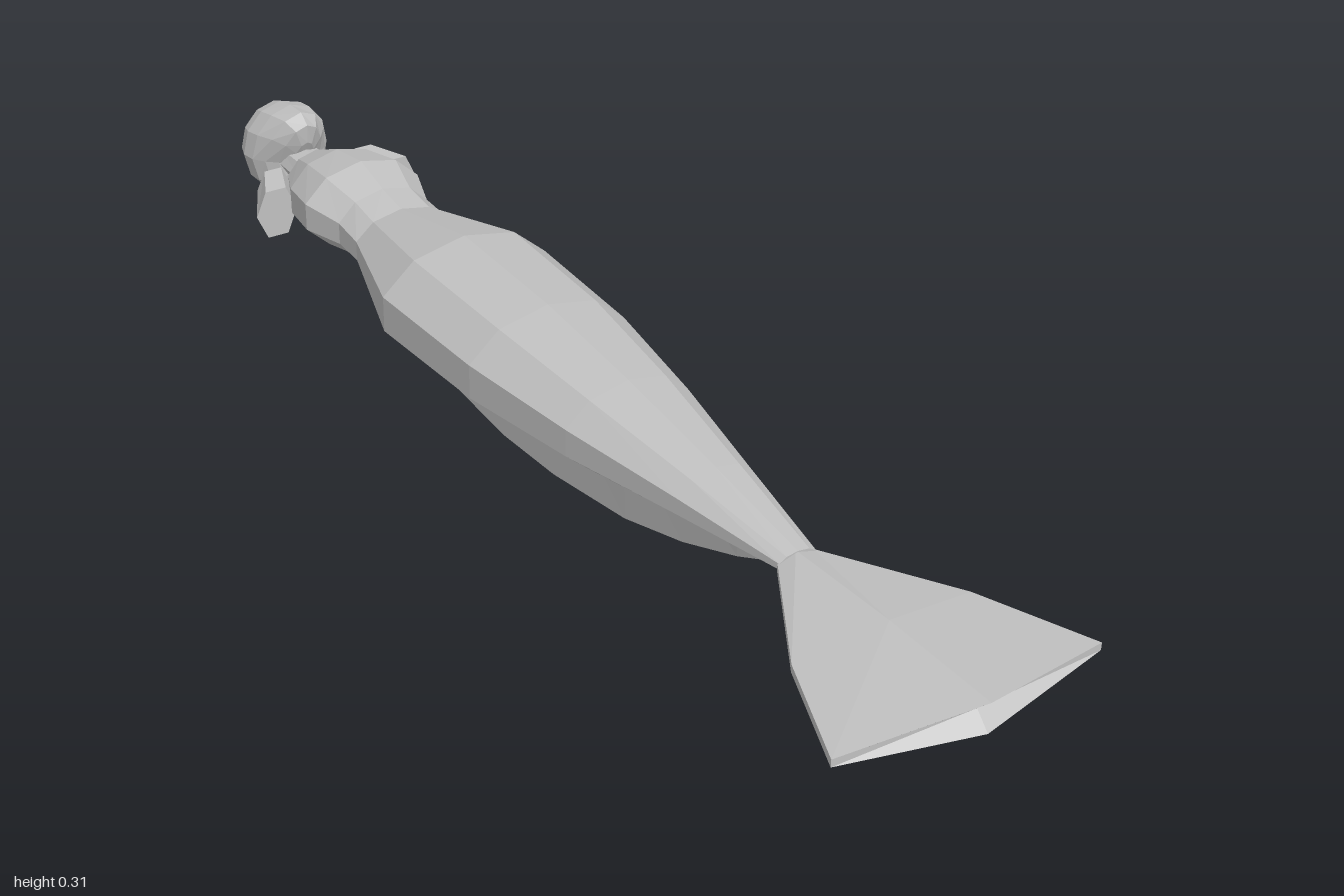
import * as THREE from 'three';

const MID = 0.212; // height of the body axis

// Faceted skin through matching rings of [x, y, z], counter-clockwise seen from +z, ordered by rising z
function loft(rings) {
  const n = rings[0].length;
  const pos = [];
  const tri = (a, b, c) => pos.push(...a, ...b, ...c);
  for (let i = 0; i < rings.length - 1; i++) {
    for (let j = 0; j < n; j++) {
      const k = (j + 1) % n;
      const [a, b, c, d] = [rings[i][j], rings[i][k], rings[i + 1][k], rings[i + 1][j]];
      tri(a, b, c);
      tri(a, c, d);
    }
  }
  // end caps
  const cap = (ring, front) => {
    const mid = [0, 1, 2].map((q) => ring.reduce((s, p) => s + p[q], 0) / n);
    ring.forEach((p, j) => {
      const q = ring[(j + 1) % n];
      if (front) tri(mid, p, q);
      else tri(mid, q, p);
    });
  };
  cap(rings[0], false);
  cap(rings[rings.length - 1], true);
  const g = new THREE.BufferGeometry();
  g.setAttribute('position', new THREE.Float32BufferAttribute(pos, 3));
  g.computeVertexNormals();
  return g;
}

function ellipse(n, cx, cy, z, rx, ry, start = 0) {
  return Array.from({ length: n }, (_, j) => {
    const a = start + (j / n) * Math.PI * 2;
    return [cx + rx * Math.cos(a), cy + ry * Math.sin(a), z];
  });
}

export function createModel() {
  const model = new THREE.Group();
  const grey = new THREE.MeshStandardMaterial({ color: 0xc0c0c0 });
  grey.name = 'light grey';
  const add = (name, geometry) => {
    const mesh = new THREE.Mesh(geometry, grey);
    mesh.name = name;
    model.add(mesh);
  };

  // Body: ten-sided rings from shoulders to tail root [z, half width, top, bottom]
  const body = [
    [-0.79, 0.06, 0.25, 0.15],
    [-0.71, 0.096, 0.283, 0.134],
    [-0.62, 0.113, 0.297, 0.143],
    [-0.545, 0.088, 0.277, 0.153],
    [-0.48, 0.09, 0.267, 0.157],
    [-0.27, 0.156, 0.31, 0.113],
    [-0.02, 0.145, 0.304, 0.12],
    [0.2, 0.112, 0.284, 0.14],
    [0.42, 0.068, 0.256, 0.172],
    [0.61, 0.032, 0.229, 0.2],
  ];
  add('body', loft(body.map(([z, rx, top, bottom]) =>
    ellipse(10, 0, (top + bottom) / 2, z, rx, (top - bottom) / 2, Math.PI / 2))));

  // Neck
  add('neck', loft([
    ellipse(8, 0, 0.203, -0.88, 0.038, 0.028),
    ellipse(8, 0, 0.203, -0.77, 0.04, 0.032),
  ]));

  // Head: round skull with the face upward and the chin drawn toward the chest
  const R = 0.087;
  const head = new THREE.SphereGeometry(1, 12, 9).rotateX(Math.PI / 2).toNonIndexed();
  const p = head.attributes.position;
  for (let i = 0; i < p.count; i++) {
    const v = p.getY(i);
    const u = p.getZ(i);
    const f = Math.max(u, 0);
    const chin = f * Math.max(v, 0);
    p.setXYZ(i,
      p.getX(i) * 0.079 * (1 - 0.28 * f),
      0.205 + R * v + 0.046 * chin,
      -0.912 + R * u + 0.06 * chin - 0.022 * f * (1 - Math.abs(v)));
  }
  head.computeVertexNormals();
  add('head', head);

  // Short arm stumps beside the shoulders
  for (const [side, name] of [[1, 'leftArm'], [-1, 'rightArm']]) {
    add(name, loft([
      ellipse(6, side * 0.088, 0.203, -0.785, 0.032, 0.038),
      ellipse(6, side * 0.117, 0.19, -0.715, 0.038, 0.05),
    ]));
  }

  // Keel fin: thin blade under the belly [z, lower edge, upper edge]
  const keel = [
    [-0.6, 0.148, 0.18], [-0.55, 0.098, 0.2], [-0.48, 0.058, 0.2], [-0.4, 0.031, 0.2],
    [-0.3, 0.013, 0.2], [-0.15, 0.002, 0.2], [0, 0.011, 0.2], [0.2, 0.044, 0.2],
    [0.35, 0.09, 0.21], [0.48, 0.143, 0.21], [0.6, 0.203, 0.214],
  ];
  add('keelFin', loft(keel.map(([z, low, high]) => [
    [0.002, low, z], [0.006, high, z], [-0.006, high, z], [-0.002, low, z],
  ])));

  // Tail fin: flat fan, thickest on its centre line [edge z, centre z, half width, half edge, half centre]
  const tail = [
    [0.605, 0.605, 0.03, 0.006, 0.015],
    [0.79, 0.8, 0.145, 0.006, 0.024],
    [0.96, 0.995, 0.214, 0.006, 0.024],
  ];
  add('tailFin', loft(tail.map(([ze, zc, w, e, c]) => [
    [w, MID - e, ze], [w, MID + e, ze], [0, MID + c, zc],
    [-w, MID + e, ze], [-w, MID - e, ze], [0, MID - c, zc],
  ])));

  return model;
}
